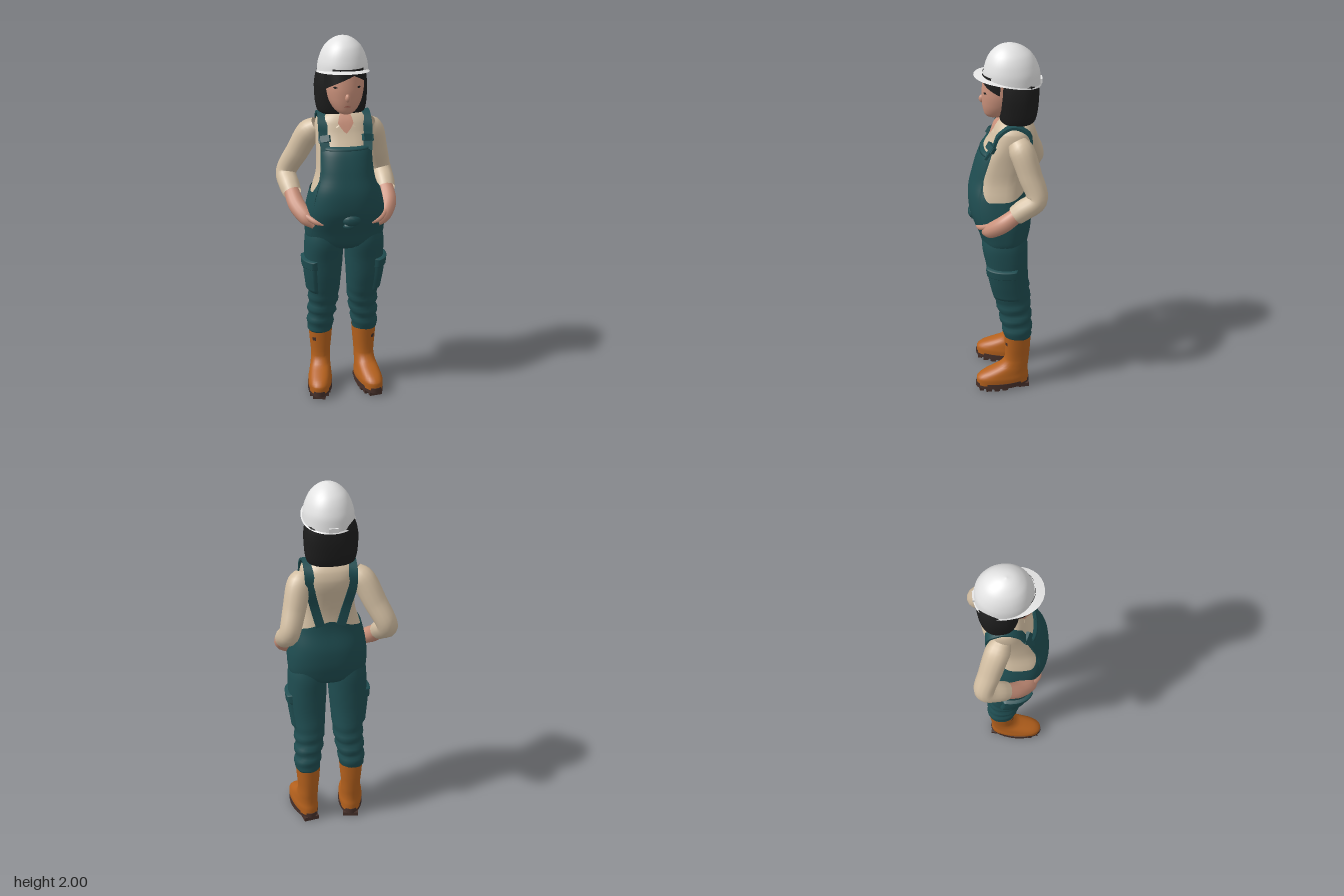
import * as THREE from 'three';
import { mergeVertices, toCreasedNormals } from 'three/addons/utils/BufferGeometryUtils.js';

const V = (x, y, z) => new THREE.Vector3(x, y, z);
const MID = 0.03; // the figure's own centre line
const TAU = Math.PI * 2;

// Smooth interpolation through rows [key, ...values], without overshoot
function interp(rows, key, k) {
  const n = rows.length - 1;
  if (key <= rows[0][0]) return rows[0][k];
  if (key >= rows[n][0]) return rows[n][k];
  let i = 0;
  while (key > rows[i + 1][0]) i++;
  const slope = a => (rows[a + 1][k] - rows[a][k]) / (rows[a + 1][0] - rows[a][0]);
  const tangent = a => {
    if (a === 0) return slope(0);
    if (a === n) return slope(n - 1);
    const p = slope(a - 1), q = slope(a);
    return p * q <= 0 ? 0 : 2 * p * q / (p + q);
  };
  const h = rows[i + 1][0] - rows[i][0], t = (key - rows[i][0]) / h, t2 = t * t, t3 = t2 * t;
  return (2 * t3 - 3 * t2 + 1) * rows[i][k] + (t3 - 2 * t2 + t) * h * tangent(i)
    + (3 * t2 - 2 * t3) * rows[i + 1][k] + (t3 - t2) * h * tangent(i + 1);
}

function smooth(g) {
  g.deleteAttribute('uv');
  g.deleteAttribute('normal');
  const m = mergeVertices(g, 1e-5);
  m.computeVertexNormals();
  return m;
}

// Grid of quads from a rule fn(i, j) -> Vector3
function sheet(nu, nv, fn) {
  const pos = [], idx = [];
  for (let j = 0; j <= nv; j++) for (let i = 0; i <= nu; i++) pos.push(...fn(i, j).toArray());
  for (let j = 0; j < nv; j++) for (let i = 0; i < nu; i++) {
    const a = j * (nu + 1) + i, d = a + nu + 1;
    idx.push(a, a + 1, d + 1, a, d + 1, d);
  }
  const g = new THREE.BufferGeometry();
  g.setAttribute('position', new THREE.Float32BufferAttribute(pos, 3));
  g.setIndex(idx);
  return smooth(g);
}

// Surface from rows [y, cx, cz, rx, rz]; angle 0 faces front, positive towards +x
function surface(rows, power = 2) {
  const e = 2 / power, sp = v => Math.sign(v) * Math.abs(v) ** e;
  return (y, a, off = 0) => V(
    interp(rows, y, 1) + (interp(rows, y, 3) + off) * sp(Math.sin(a)), y,
    interp(rows, y, 2) + (interp(rows, y, 4) + off) * sp(Math.cos(a)));
}

const val = (f, ...args) => typeof f === 'function' ? f(...args) : f;

// Piece of a surface between two angles and two edge heights
function patch(surf, a0, a1, low, high, off = 0, nu = 20, nv = 8) {
  return sheet(nu, nv, (i, j) => {
    const u = i / nu, v = j / nv, a = a0 + (a1 - a0) * u;
    const y = THREE.MathUtils.lerp(val(low, a), val(high, a), v);
    return surf(y, a, val(off, u, v));
  });
}

// Complete closed loft with rows at every section
function loft(rows, power = 2, off = 0, nu = 32, sub = 3) {
  const surf = surface(rows, power);
  return sheet(nu, (rows.length - 1) * sub, (i, j) => {
    const s = Math.min(Math.floor(j / sub), rows.length - 2);
    const y = THREE.MathUtils.lerp(rows[s][0], rows[s + 1][0], j / sub - s), a = (i % nu) / nu * TAU;
    return surf(y, a, val(off, y, a));
  });
}

// Raised panel whose edges sink back to the surface
const pad = h => (u, v) => h * Math.min(1, 10 * Math.min(u, 1 - u, v, 1 - v)) - 0.002;

// Tube of changing thickness through points [x, y, z, r]
function limb(pts, seg = 24, sides = 14) {
  const curve = new THREE.CatmullRomCurve3(pts.map(p => V(p[0], p[1], p[2])));
  const g = new THREE.TubeGeometry(curve, seg, 1, sides), p = g.attributes.position;
  const radii = pts.map((q, i) => [i, q[3]]), v = V(0, 0, 0);
  for (let k = 0; k < p.count; k++) {
    const u = Math.floor(k / (sides + 1)) / seg, c = curve.getPointAt(u);
    const r = interp(radii, curve.getUtoTmapping(u) * (pts.length - 1), 1);
    v.fromBufferAttribute(p, k).sub(c).multiplyScalar(r).add(c);
    p.setXYZ(k, v.x, v.y, v.z);
  }
  return smooth(g);
}

// Flat band along a path, lying across x
function ribbon(points, w, h, seg = 30) {
  const curve = new THREE.CatmullRomCurve3(points);
  const corners = [[1, 1], [-1, 1], [-1, -1], [1, -1], [1, 1]];
  return toCreasedNormals(sheet(seg, 4, (i, j) => {
    const T = curve.getTangentAt(i / seg), N = V(1, 0, 0).cross(T).normalize();
    const S = T.clone().cross(N).normalize();
    return curve.getPointAt(i / seg).addScaledVector(S, corners[j][0] * w).addScaledVector(N, corners[j][1] * h);
  }), 0.7);
}

export function createModel() {
  const model = new THREE.Group();
  model.name = 'worker';
  const mat = (name, color, side = THREE.FrontSide) => new THREE.MeshStandardMaterial({ name, color, side });
  const denim = mat('teal denim', 0x1f4d51, THREE.DoubleSide), shirt = mat('beige cotton', 0xd3bfa3, THREE.DoubleSide);
  const skin = mat('skin', 0xcb927c), hair = mat('black hair', 0x1d1d1d, THREE.DoubleSide);
  const white = mat('white helmet', 0xe4e4e4, THREE.DoubleSide), leather = mat('orange leather', 0xb5611d, THREE.DoubleSide);
  const rubber = mat('brown rubber', 0x46302a), lip = mat('lips', 0xb46a5b);
  const add = (name, geo, m, parent = model) => {
    const mesh = new THREE.Mesh(geo, m);
    mesh.name = name;
    parent.add(mesh);
    return mesh;
  };

  // Torso, shared by shirt and overalls
  const torso = [
    [0.845, MID, 0.015, 0.01, 0.01], [0.87, MID, 0.015, 0.12, 0.08], [0.9, MID, 0.014, 0.185, 0.112],
    [0.96, MID, 0.015, 0.205, 0.128], [1.03, MID, 0.025, 0.207, 0.146], [1.1, MID, 0.037, 0.2, 0.156],
    [1.2, MID, 0.048, 0.178, 0.148], [1.3, MID, 0.036, 0.15, 0.138], [1.4, MID, 0.01, 0.146, 0.134],
    [1.5, MID, -0.03, 0.15, 0.117], [1.55, MID, -0.035, 0.143, 0.102], [1.58, MID, -0.034, 0.12, 0.084],
    [1.602, MID, -0.03, 0.08, 0.06], [1.615, MID, -0.025, 0.04, 0.04]];
  const body = surface(torso, 2.5);
  add('shirt', loft(torso.filter(r => r[0] >= 1.1), 2.5), shirt);

  // Overalls with bib: the top edge depends on the angle
  const edge = [[0, 1.44], [0.98, 1.435], [1.02, 1.31], [1.12, 1.24], [1.35, 1.195], [1.8, 1.195], [2.4, 1.215], [Math.PI, 1.26]];
  const topEdge = a => interp(edge, Math.abs(a), 1);
  add('overalls', patch(body, -Math.PI, Math.PI, 0.845, topEdge, 0.008, 160, 28), denim);
  add('bibHem', patch(body, -0.96, 0.96, 1.42, 1.443, pad(0.014), 24, 4), denim);
  const bunch = add('frontFold', new THREE.SphereGeometry(1, 10, 7), denim);
  bunch.scale.set(0.052, 0.034, 0.026);
  bunch.position.set(0.045, 1.06, 0.182);
  const fold = add('frontFoldTail', new THREE.SphereGeometry(1, 8, 6), denim);
  fold.scale.set(0.032, 0.02, 0.02);
  fold.position.set(0.03, 1.025, 0.175);

  // Shoulder straps and buckles follow the torso
  const bodyZ = (o, y, sign) => interp(torso, y, 2)
    + sign * (interp(torso, y, 4) * Math.max(0, 1 - (o / interp(torso, y, 3)) ** 2.5) ** 0.4 + 0.007);
  const strap = [[0.11, 1.42, 1], [0.117, 1.49, 1], [0.118, 1.55, 1], [0.114, 1.595, 0],
    [0.114, 1.55, -1], [0.11, 1.46, -1], [0.085, 1.35, -1], [0.055, 1.235, -1]];
  for (const s of [-1, 1]) {
    add('strap', ribbon(strap.map(([o, y, f]) => V(MID + s * o, y, bodyZ(o, y, f))), 0.024, 0.007), denim);
    const buckle = add('buckle', new THREE.BoxGeometry(0.062, 0.035, 0.02), denim);
    buckle.position.set(MID + s * 0.114, 1.478, bodyZ(0.114, 1.478, 1) + 0.008);
    buckle.rotation.set(-0.5, s * 0.5, 0);
  }

  // Collar, open throat and neck
  const collar = surface([[1.53, MID, -0.015, 0.105, 0.103], [1.57, MID, -0.02, 0.08, 0.075], [1.618, MID, -0.02, 0.052, 0.052]]);
  const point = a => 1.578 - 0.045 * Math.exp(-(((Math.min(a, TAU - a) - 0.5) / 0.28) ** 2));
  add('collar', patch(collar, 0.2, TAU - 0.2, point, 1.615, 0, 64, 5), shirt);
  add('throat', patch(body, -0.2, 0.2, a => 1.505 + Math.abs(a) * 0.25, 1.61, 0.006, 12, 6), skin);
  const neck = add('neck', new THREE.CylinderGeometry(0.045, 0.047, 0.12, 18), skin);
  neck.position.set(MID, 1.615, -0.015);

  // Bent arms with hands resting in the pockets
  const arms = [
    { side: 'right', sleeve: [[-0.1, 1.515, -0.05, 0.05], [-0.145, 1.475, -0.075, 0.066], [-0.203, 1.36, -0.115, 0.062],
      [-0.262, 1.235, -0.15, 0.056], [-0.252, 1.18, -0.08, 0.055], [-0.242, 1.15, -0.04, 0.05]],
    hand: [[-0.247, 1.165, -0.06, 0.04], [-0.225, 1.1, 0.02, 0.045], [-0.182, 1.05, 0.085, 0.041], [-0.14, 1.01, 0.115, 0.018]],
    thumb: [[-0.2, 1.075, 0.09, 0.016], [-0.145, 1.045, 0.138, 0.015], [-0.1, 1.03, 0.156, 0.006]] },
    { side: 'left', sleeve: [[0.16, 1.515, -0.05, 0.05], [0.19, 1.475, -0.075, 0.066], [0.222, 1.36, -0.115, 0.062],
      [0.256, 1.235, -0.15, 0.056], [0.265, 1.18, -0.08, 0.055], [0.267, 1.15, -0.04, 0.05]],
    hand: [[0.266, 1.165, -0.06, 0.04], [0.268, 1.1, 0.02, 0.045], [0.232, 1.045, 0.085, 0.041], [0.19, 1.01, 0.12, 0.018]],
    thumb: [[0.245, 1.075, 0.09, 0.016], [0.2, 1.045, 0.14, 0.015], [0.155, 1.03, 0.16, 0.006]] }];
  for (const a of arms) {
    add(a.side + 'Sleeve', limb(a.sleeve, 30), shirt);
    add(a.side + 'Hand', limb(a.hand), skin);
    add(a.side + 'Thumb', limb(a.thumb, 10, 8), skin);
  }

  // Trouser legs, cargo pockets and boots
  for (const s of [-1, 1]) {
    const x = o => MID + s * o;
    const rows = [[0.33, x(0.125), -0.057, 0.06, 0.068], [0.345, x(0.125), -0.057, 0.07, 0.077], [0.42, x(0.12), -0.05, 0.073, 0.083],
      [0.52, x(0.11), -0.036, 0.08, 0.09], [0.6, x(0.107), -0.022, 0.086, 0.099], [0.7, x(0.11), -0.005, 0.096, 0.106],
      [0.8, x(0.111), 0.003, 0.104, 0.112], [0.9, x(0.108), 0.012, 0.106, 0.121], [1.0, x(0.103), 0.015, 0.09, 0.11]];
    const wrinkle = (y, a) => 0.007 * Math.sin(y * 85 + 1.3 * Math.sin(a + s)) * Math.exp(-(((y - 0.46) / 0.1) ** 2));
    const leg = surface(rows, 2.2);
    add('leg', loft(rows, 2.2, wrinkle, 32, 5), denim);
    add('cargoPocket', patch(leg, s * 1.25 - 0.8, s * 1.25 + 0.8, 0.59, 0.77, pad(0.014), 20, 20), denim);
    add('pocketFlap', patch(leg, s * 1.25 - 0.85, s * 1.25 + 0.85, 0.745, 0.8, pad(0.021), 20, 20), denim);

    const boot = new THREE.Group();
    boot.name = 'boot';
    boot.position.set(x(0.122), 0, -0.057);
    boot.rotation.y = s * 0.17;
    model.add(boot);
    const upper = [[0.035, 0, 0.085, 0.064, 0.147], [0.07, 0, 0.085, 0.066, 0.147], [0.095, 0, 0.075, 0.062, 0.134],
      [0.12, 0, 0.05, 0.058, 0.108], [0.15, 0, 0.018, 0.054, 0.078], [0.19, 0, 0.003, 0.053, 0.067],
      [0.27, 0, 0, 0.06, 0.07], [0.345, 0, 0, 0.066, 0.073]];
    add('bootUpper', loft(upper, 2.3, 0, 28), leather, boot);
    add('pullTab', patch(surface(upper, 2.3), s * 0.45 - 0.16, s * 0.45 + 0.16, 0.285, 0.305, 0.004, 6, 2), rubber, boot);
    const sole = add('sole', new THREE.CylinderGeometry(1, 1, 0.03, 28), rubber, boot);
    sole.scale.set(0.068, 1, 0.151);
    sole.position.set(0, 0.033, 0.085);
    for (const [z, w, d] of [[-0.03, 0.085, 0.06], [0.08, 0.118, 0.03], [0.125, 0.12, 0.03], [0.17, 0.105, 0.03], [0.208, 0.07, 0.024]])
      add('tread', new THREE.BoxGeometry(w, 0.022, d), rubber, boot).position.set(0, 0.011, z);
  }

  // Head and face
  const headRows = [[1.603, MID, 0.06, 0.008, 0.012], [1.613, MID, 0.058, 0.036, 0.046], [1.64, MID, 0.045, 0.066, 0.074],
    [1.69, MID, 0.03, 0.09, 0.097], [1.75, MID, 0.022, 0.1, 0.106], [1.85, MID, 0.015, 0.1, 0.1]];
  const head = surface(headRows, 2.1);
  add('face', loft(headRows, 2.1), skin);
  const nose = add('nose', new THREE.SphereGeometry(1, 12, 8), skin);
  nose.scale.set(0.013, 0.022, 0.018);
  nose.position.set(MID, 1.704, 0.125);
  add('mouth', patch(head, -0.2, 0.2, 1.654, a => 1.663 - Math.abs(a) * 0.03, 0.002, 8, 2), lip);
  for (const s of [-1, 1])
    add('eye', patch(head, s * 0.62 - 0.12, s * 0.62 + 0.12,
      a => 1.75 + Math.abs(a - s * 0.62) * 0.05, a => 1.764 - Math.abs(a - s * 0.62) * 0.05, 0.003, 8, 2), hair);

  // Bobbed hair with a parted fringe
  add('hair', loft([[1.585, 0.022, -0.055, 0.01, 0.01], [1.59, 0.022, -0.055, 0.11, 0.082], [1.605, 0.022, -0.056, 0.127, 0.095],
    [1.66, 0.021, -0.057, 0.136, 0.104], [1.73, 0.021, -0.057, 0.139, 0.109], [1.79, 0.022, -0.055, 0.132, 0.109],
    [1.85, 0.025, -0.04, 0.112, 0.1]], 2.5), hair);
  add('fringe', patch(head, -1.45, 1.45, a => 1.818 - 0.05 * Math.abs(a - 0.3), 1.85, 0.009, 28, 4), hair);

  // Hard hat: tilted dome, peaked brim and rear adjuster
  const dome = surface([[1.78, 0.027, -0.025, 0.135, 0.149], [1.85, 0.027, -0.025, 0.13, 0.144], [1.9, 0.027, -0.023, 0.117, 0.13],
    [1.945, 0.027, -0.02, 0.094, 0.106], [1.975, 0.027, -0.017, 0.064, 0.073], [1.993, 0.027, -0.015, 0.032, 0.037],
    [2.0, 0.027, -0.015, 0.001, 0.001]], 2.1);
  const rim = a => 1.818 + 0.025 * Math.cos(a);
  add('helmetDome', sheet(40, 24, (i, j) => {
    const a = i / 40 * TAU, v = Math.sin(j / 24 * Math.PI / 2);
    return dome(THREE.MathUtils.lerp(rim(a), 2, v), a);
  }), white);
  add('helmetBrim', sheet(40, 3, (i, j) => {
    const a = i / 40 * TAU, v = 1 - j / 3;
    const p = dome(rim(a), a, v * (0.005 + 0.044 * Math.max(0, Math.cos(a)) ** 2));
    p.y -= v * 0.007;
    return p;
  }), white);
  add('helmetAdjuster', new THREE.BoxGeometry(0.05, 0.022, 0.012), white).position.set(0.027, 1.805, -0.174);

  return model;
}
